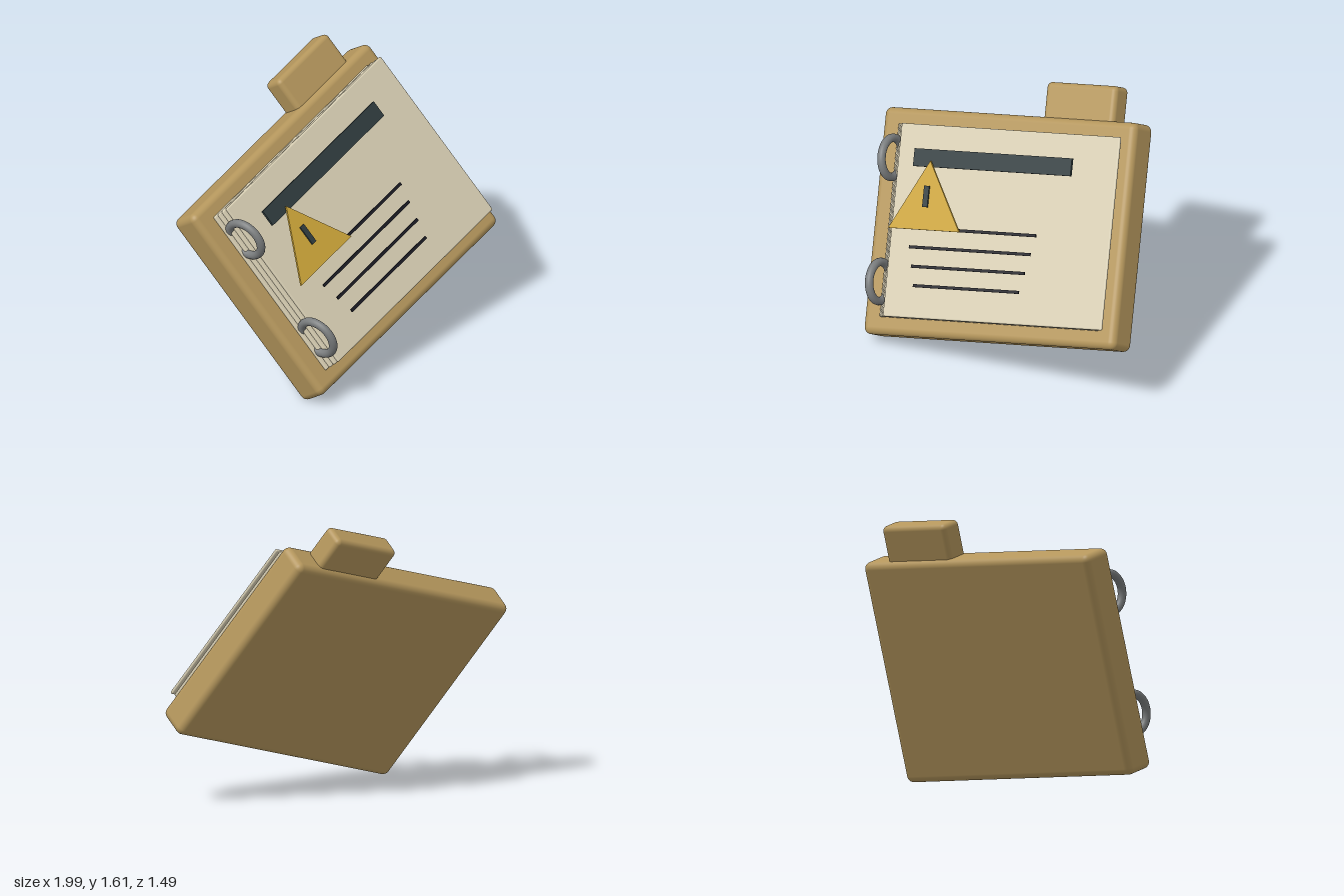
import * as THREE from 'three';
import { RoundedBoxGeometry } from 'three/addons/geometries/RoundedBoxGeometry.js';

const mat = (name, color) => {
  const m = new THREE.MeshStandardMaterial({ color });
  m.name = name;
  return m;
};

export function createModel() {
  const kraft = mat('kraft card', 0xb4965c);
  const paper = mat('paper', 0xd6cdb2);
  const slate = mat('dark slate', 0x2f3b3d);
  const ink = mat('ink', 0x1a1a22);
  const yellow = mat('warning yellow', 0xcaa338);
  const steel = mat('steel', 0x7a7d7e);

  // The binder is built flat, facing +z, then tilted as a whole.
  const binder = new THREE.Group();
  binder.name = 'binder';
  const add = (name, geometry, material, x, y, z) => {
    const mesh = new THREE.Mesh(geometry, material);
    mesh.name = name;
    mesh.position.set(x, y, z);
    binder.add(mesh);
    return mesh;
  };

  // Cover board and the index tab at its top edge
  add('coverBoard', new RoundedBoxGeometry(1.68, 1.28, 0.2, 4, 0.04), kraft, 0, 0, 0);
  add('indexTab', new RoundedBoxGeometry(0.47, 0.36, 0.14, 4, 0.03), kraft, 0.435, 0.66, 0);

  // Stack of sheets, each shifted a little further to the side
  for (let i = 0; i < 4; i++) {
    add('sheet' + (i + 1), new RoundedBoxGeometry(1.46, 1.09, 0.019, 3, 0.009), paper,
      0.005 + i * 0.02, 0.003, 0.106 + i * 0.0195);
  }

  // Title bar and shrinking text lines
  add('titleBar', new THREE.BoxGeometry(1.05, 0.1, 0.015), slate, 0.005, 0.357, 0.23);
  for (let i = 0; i < 4; i++) {
    add('textLine' + (i + 1), new THREE.BoxGeometry(0.86 - i * 0.052, 0.017, 0.009), ink,
      -0.085, -0.04 - i * 0.108, 0.24);
  }

  // Warning triangle with its mark
  const tri = new THREE.Shape();
  tri.moveTo(-0.236, -0.05);
  tri.lineTo(0.236, -0.05);
  tri.lineTo(0, 0.34);
  tri.closePath();
  add('warningTriangle', new THREE.ExtrudeGeometry(tri, { depth: 0.012, bevelEnabled: false }),
    yellow, -0.39, 0, 0.253);
  add('warningMark', new THREE.BoxGeometry(0.034, 0.12, 0.009), slate, -0.39, 0.138, 0.273);

  // Binding rings along the left edge
  for (const s of [1, -1]) {
    const ring = add(s > 0 ? 'upperRing' : 'lowerRing',
      new THREE.TorusGeometry(0.11, 0.024, 16, 48), steel, -0.695, s * 0.35, 0.188);
    ring.rotation.y = Math.PI / 2;
  }

  binder.rotation.set(-0.625, 0.353, 0.555);
  binder.position.set(0, 0.75, -0.0125);

  const model = new THREE.Group();
  model.name = 'documentBinder';
  model.add(binder);
  return model;
}
